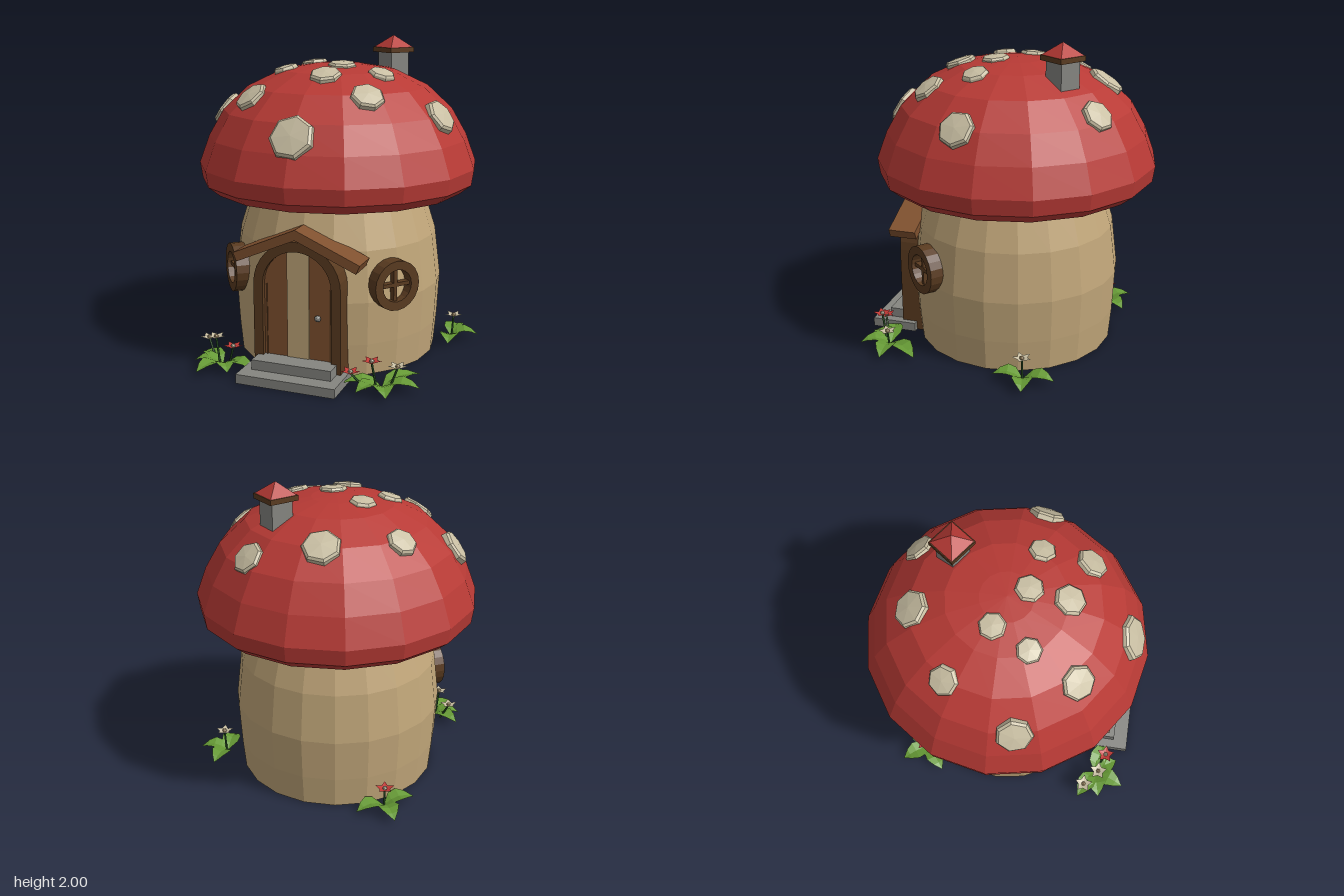
import * as THREE from 'three';

const mat = (name, color, double = false) => {
  const m = new THREE.MeshStandardMaterial({ color, flatShading: true });
  m.name = name;
  if (double) m.side = THREE.DoubleSide;
  return m;
};

// cap outline from rim to crown: [radius, height]
const CAP = [[0.8, 1.05], [0.875, 1.11], [0.89, 1.21], [0.825, 1.385], [0.73, 1.55], [0.57, 1.7], [0.36, 1.8], [0.16, 1.835], [0, 1.845]];
const CAP_Z = -0.02;

function capHeight(r) {
  for (let i = 2; i < CAP.length - 1; i++) {
    const [r0, y0] = CAP[i], [r1, y1] = CAP[i + 1];
    if (r <= r0 && r >= r1) return y0 + ((r0 - r) / (r0 - r1)) * (y1 - y0);
  }
  return CAP[2][1];
}

const lathe = (pts, sides) => new THREE.LatheGeometry(pts.map(([x, y]) => new THREE.Vector2(x, y)), sides);

// pointed leaf along +z, folded along its midrib and arched
function leafGeometry(length, width) {
  const g = new THREE.PlaneGeometry(1, 1, 2, 4);
  const p = g.attributes.position;
  for (let i = 0; i < p.count; i++) {
    const t = p.getY(i) + 0.5, side = p.getX(i) * 2;
    const w = Math.sin(Math.PI * Math.pow(t, 0.8)) * width / 2;
    p.setXYZ(i, -side * w, 0.015 + 0.035 * Math.sin(Math.PI * t) + 0.015 * t + Math.abs(side) * w * 0.25, t * length);
  }
  g.computeVertexNormals();
  return g;
}

// five-petalled cup
function petalGeometry(r) {
  const g = new THREE.CircleGeometry(r, 10);
  g.rotateX(-Math.PI / 2);
  const p = g.attributes.position;
  for (let i = 1; i < p.count; i++) {
    const k = i % 2 ? 1 : 0.55;
    p.setXYZ(i, p.getX(i) * k, r * 0.3 * k, p.getZ(i) * k);
  }
  g.computeVertexNormals();
  return g;
}

export function createModel() {
  const red = mat('cap red', 0xb83a35);
  const petalRed = mat('petal red', 0xc23a36, true);
  const cream = mat('spot cream', 0xc9bfa3, true);
  const tan = mat('wall tan', 0xc2a77a, true);
  const darkWood = mat('dark wood', 0x5a3b20);
  const wood = mat('plank wood', 0x80512f);
  const stone = mat('stone grey', 0x858580);
  const leafGreen = mat('leaf green', 0x669a35, true);
  const stemGreen = mat('stem green', 0x2f5c2c);

  const model = new THREE.Group();
  model.name = 'mushroomHouse';
  const add = (name, geo, material, x = 0, y = 0, z = 0, parent = model) => {
    const m = new THREE.Mesh(geo, material);
    m.name = name;
    m.position.set(x, y, z);
    parent.add(m);
    return m;
  };

  // stalk walls, open underneath
  add('stalkWall', lathe([[0.64, 0], [0.658, 0.2], [0.672, 0.47], [0.635, 0.78], [0.55, 1.05], [0.5, 1.13]], 20), tan, 0, 0, -0.01);

  // cap and its underside
  add('cap', lathe(CAP, 16), red, 0, 0, CAP_Z);
  add('capUnderside', lathe([[0.44, 1.13], [0.8, 1.05]], 16), cream, 0, 0, CAP_Z);

  // spots lie flush on the cap: [x, z, radius]
  const spots = [[-0.1, -0.57, 0.12], [0.34, -0.61, 0.105], [-0.5, -0.31, 0.095], [-0.185, -0.075, 0.085], [0.07, 0.1, 0.09],
    [-0.29, 0.15, 0.08], [0.34, 0.14, 0.085], [-0.72, 0.13, 0.115], [0.71, 0.13, 0.115], [0.05, 0.34, 0.1],
    [-0.39, 0.45, 0.11], [0.35, 0.44, 0.105], [0, 0.75, 0.14]];
  const up = new THREE.Vector3(0, 1, 0);
  spots.forEach(([x, z, s], i) => {
    const dz = z - CAP_Z, r = Math.hypot(x, dz);
    const a = Math.max(r - 0.08, 0), b = Math.min(r + 0.08, 0.88);
    const slope = (capHeight(a) - capHeight(b)) / (b - a);
    const normal = new THREE.Vector3(x / r * slope, 1, dz / r * slope).normalize();
    const spot = add('spot', lathe([[s, -0.03], [s * 0.98, 0.005], [s * 0.86, 0.018], [0, 0.026]], 7), cream, x, capHeight(r), z);
    spot.quaternion.setFromUnitVectors(up, normal);
    spot.rotateY(i * 1.3);
  });

  // chimney
  const chimney = new THREE.Group();
  chimney.name = 'chimney';
  chimney.position.set(0.255, 0, -0.375);
  chimney.rotation.y = 0.17;
  model.add(chimney);
  add('chimneyShaft', new THREE.CylinderGeometry(0.1, 0.1, 0.26, 4), stone, 0, 1.77, 0, chimney);
  add('chimneyPlate', new THREE.CylinderGeometry(0.135, 0.135, 0.032, 4), darkWood, 0, 1.906, 0, chimney);
  add('chimneyRoof', new THREE.ConeGeometry(0.127, 0.078, 4), red, 0, 1.961, 0, chimney);

  // arched door and frame
  const SPRING = 0.57;
  const arch = (w) => {
    const s = new THREE.Shape();
    s.moveTo(-w, 0);
    s.lineTo(w, 0);
    s.absarc(0, SPRING, w, 0, Math.PI, false);
    return s;
  };
  const frame = new THREE.Shape();
  frame.moveTo(0.22, 0);
  frame.lineTo(0.28, 0);
  frame.absarc(0, SPRING, 0.28, 0, Math.PI, false);
  frame.lineTo(-0.28, 0);
  frame.lineTo(-0.22, 0);
  frame.absarc(0, SPRING, 0.22, Math.PI, 0, true);
  const extrude = (shape, depth) => new THREE.ExtrudeGeometry(shape, { depth, bevelEnabled: false, curveSegments: 8 });
  add('doorFrame', extrude(frame, 0.15), darkWood, 0, 0, 0.55);
  add('door', extrude(arch(0.222), 0.115), wood, 0, 0, 0.555);
  const plank = new THREE.Shape();
  plank.moveTo(-0.07, 0);
  plank.lineTo(0.07, 0);
  plank.lineTo(0.07, 0.775);
  plank.lineTo(0, 0.789);
  plank.lineTo(-0.07, 0.775);
  add('doorMiddlePlank', extrude(plank, 0.008), tan, 0, 0, 0.67);
  for (const x of [-0.205, 0.205]) add('doorEdgeTrim', new THREE.BoxGeometry(0.008, 0.57, 0.008), darkWood, x, 0.285, 0.672);
  add('doorKnob', new THREE.IcosahedronGeometry(0.02, 1), stone, 0.13, 0.39, 0.688);

  // porch roof boards
  for (const s of [-1, 1]) {
    const board = add('porchBoard', new THREE.BoxGeometry(0.44, 0.058, 0.18), wood, s * 0.19, 0.815, 0.63);
    board.rotation.z = -s * 0.41;
  }

  // steps
  add('lowerStep', new THREE.BoxGeometry(0.63, 0.058, 0.3), stone, 0, 0.029, 0.75);
  add('upperStep', new THREE.BoxGeometry(0.51, 0.062, 0.2), stone, 0, 0.089, 0.7);

  // round windows
  const ring = new THREE.Shape();
  ring.absarc(0, 0, 0.155, 0, Math.PI * 2, false);
  const hole = new THREE.Path();
  hole.absarc(0, 0, 0.1, 0, Math.PI * 2, true);
  ring.holes.push(hole);
  const ringGeo = new THREE.ExtrudeGeometry(ring, { depth: 0.085, bevelEnabled: false, curveSegments: 10 });
  for (const s of [-1, 1]) {
    const w = new THREE.Group();
    w.name = s > 0 ? 'leftWindow' : 'rightWindow';
    w.position.set(s * 0.505, 0.57, 0.415);
    w.rotation.y = s * 0.88;
    model.add(w);
    add('windowRing', ringGeo, darkWood, 0, 0, -0.025, w);
    add('windowBarUpright', new THREE.BoxGeometry(0.024, 0.21, 0.04), darkWood, 0, 0, 0.018, w);
    add('windowBarAcross', new THREE.BoxGeometry(0.21, 0.024, 0.04), darkWood, 0, 0, 0.018, w);
  }

  // plants: base, leaf tips [x, z], flowers [x, y, z, isRed]
  const plants = [
    { base: [-0.5, 0.69], tips: [[-0.58, 0.9], [-0.7, 0.59], [-0.27, 0.74], [-0.4, 0.84], [-0.68, 0.74]],
      flowers: [[-0.63, 0.14, 0.62, 0], [-0.535, 0.19, 0.71, 0], [-0.4, 0.16, 0.75, 1]] },
    { base: [0.53, 0.68], tips: [[0.61, 0.86], [0.3, 0.74], [0.76, 0.66], [0.7, 0.45], [0.42, 0.84]],
      flowers: [[0.37, 0.12, 0.78, 1], [0.49, 0.19, 0.75, 1], [0.62, 0.14, 0.66, 0]] },
    { base: [0.71, -0.27], tips: [[0.89, -0.31], [0.74, -0.08], [0.72, -0.47]], flowers: [[0.73, 0.155, -0.27, 0]] },
    { base: [-0.49, -0.53], tips: [[-0.61, -0.69], [-0.36, -0.68], [-0.65, -0.4]], flowers: [[-0.5, 0.14, -0.545, 1]] },
  ];
  for (const { base: [bx, bz], tips, flowers } of plants) {
    const plant = new THREE.Group();
    plant.name = 'plant';
    model.add(plant);
    for (const [x, z] of tips) {
      const leaf = add('leaf', leafGeometry(Math.hypot(x - bx, z - bz), 0.13), leafGreen, bx, 0, bz, plant);
      leaf.rotation.y = Math.atan2(x - bx, z - bz);
    }
    for (const [x, y, z, isRed] of flowers) {
      const foot = new THREE.Vector3(x + (bx - x) * 0.5, 0.01, z + (bz - z) * 0.5);
      const path = new THREE.LineCurve3(foot, new THREE.Vector3(x, y, z));
      add('flowerStem', new THREE.TubeGeometry(path, 1, 0.007, 5), stemGreen, 0, 0, 0, plant);
      add('petals', petalGeometry(0.062), isRed ? petalRed : cream, x, y, z, plant);
      add('flowerCentre', new THREE.IcosahedronGeometry(0.016, 0), isRed ? cream : tan, x, y + 0.01, z, plant);
    }
  }
  return model;
}
